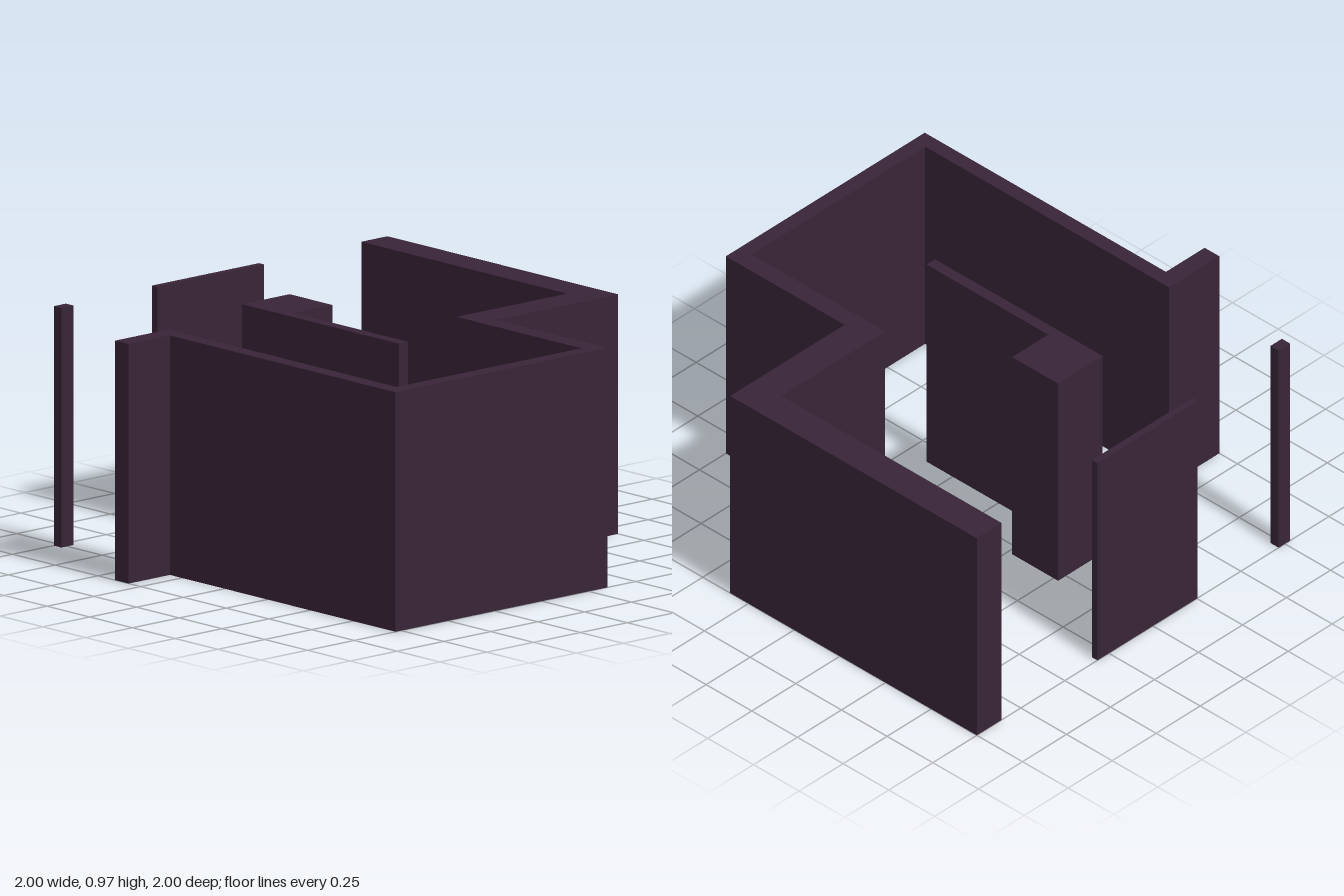
import * as THREE from 'three';

const HEIGHT = 0.97;

export function createModel() {
  const model = new THREE.Group();
  model.name = 'floorPlanWalls';

  const plum = new THREE.MeshStandardMaterial({ color: 0x382437 });
  plum.name = 'dark plum';

  // Raises a floor-plan outline of [x, z] corners to full wall height
  function addWall(name, plan) {
    const shape = new THREE.Shape(plan.map(([x, z]) => new THREE.Vector2(x, -z)));
    const geometry = new THREE.ExtrudeGeometry(shape, { depth: HEIGHT, bevelEnabled: false });
    geometry.rotateX(-Math.PI / 2);
    const mesh = new THREE.Mesh(geometry, plum);
    mesh.name = name;
    model.add(mesh);
  }

  const rectangle = (x0, z0, x1, z1) => [[x0, z0], [x1, z0], [x1, z1], [x0, z1]];

  // Stepped outer wall, open at the back
  addWall('outerWall', [
    [-1, -0.4], [-0.715, -0.4], [-0.715, 0.935], [0.27, 0.935],
    [0.27, 0.205], [0.86, 0.205], [0.86, -1], [1, -1],
    [1, 0.35], [0.35, 0.35], [0.35, 1], [-0.78, 1],
    [-0.78, -0.32], [-1, -0.32],
  ]);

  // Square pillar with a thin partition running forward from it
  addWall('pillarAndPartition', [
    [-0.208, -0.525], [0.045, -0.525], [0.045, -0.273],
    [-0.16, -0.273], [-0.16, 0.393], [-0.208, 0.393],
  ]);

  // Free-standing pieces along the back edge
  addWall('backPanel', rectangle(-0.255, -1, 0.315, -0.97));
  addWall('backPost', rectangle(-0.78, -1, -0.715, -0.955));

  return model;
}
